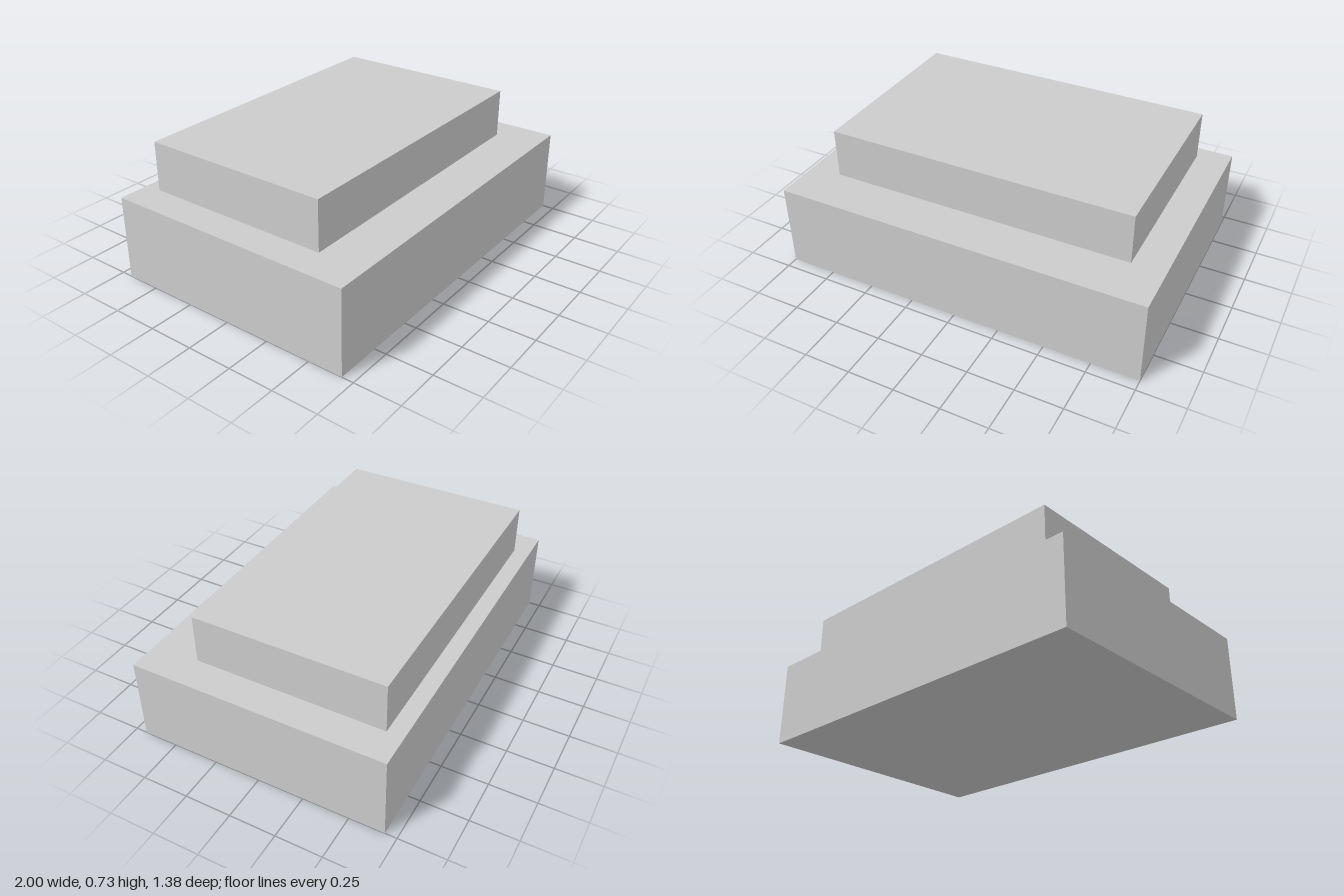
import * as THREE from 'three';

export function createModel() {
  const group = new THREE.Group();
  const material = new THREE.MeshStandardMaterial({ color: 0xcccccc, flatShading: true });

  // Adds a named block from its size, centre and underside height
  const addBlock = (name, width, height, depth, x, bottom, z) => {
    const mesh = new THREE.Mesh(new THREE.BoxGeometry(width, height, depth), material);
    mesh.name = name;
    mesh.position.set(x, bottom + height / 2, z);
    group.add(mesh);
  };

  // Wide lower block
  addBlock('base', 2, 0.459, 1.375, 0, 0, 0);
  // Smaller block on top, set towards the back
  addBlock('upperBlock', 1.654, 0.267, 1.031, -0.002, 0.459, -0.083);

  return group;
}
